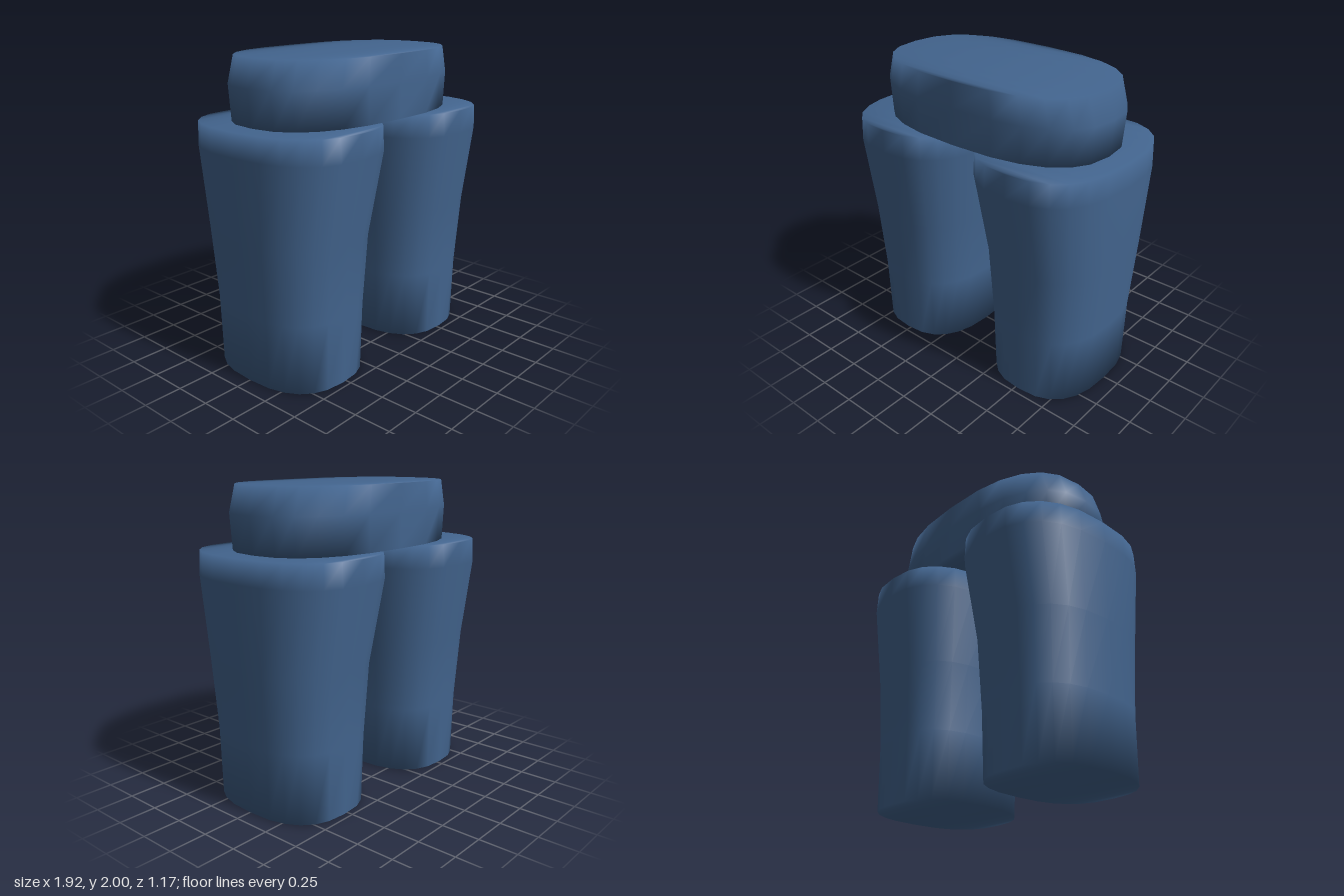
import * as THREE from 'three';

const SIDES = 24;
const ROUNDNESS = 0.77; // below 1 squares the oval off slightly

// Closed loft through rounded ovals; each row is [y, centreX, halfX, halfZ]
function loft(rows) {
  const pos = [], index = [];
  const soft = v => Math.abs(v) < 1e-6 ? 0 : Math.sign(v) * Math.abs(v) ** ROUNDNESS;
  for (const [y, cx, hx, hz] of rows) {
    for (let i = 0; i < SIDES; i++) {
      const a = i / SIDES * Math.PI * 2;
      pos.push(cx + hx * soft(Math.cos(a)), y, hz * soft(Math.sin(a)));
    }
  }
  // walls
  for (let r = 0; r < rows.length - 1; r++) {
    for (let i = 0; i < SIDES; i++) {
      const a = r * SIDES + i, b = r * SIDES + (i + 1) % SIDES;
      index.push(a, a + SIDES, b, a + SIDES, b + SIDES, b);
    }
  }
  // flat caps, stitched in strips that run side to side
  const wrap = k => (k + SIDES) % SIDES;
  const half = SIDES / 2, quarter = SIDES / 4;
  for (const [row, up] of [[0, false], [rows.length - 1, true]]) {
    const tri = (a, b, c) => {
      const [p, q, s] = [a, b, c].map(k => row * SIDES + wrap(k));
      index.push(p, up ? q : s, up ? s : q);
    };
    for (let k = -quarter; k < quarter; k++) {
      const l = half - k, l2 = l - 1;
      if (k > -quarter) tri(l, l2, k);
      if (k < quarter - 1) tri(k, l2, k + 1);
    }
  }
  const geo = new THREE.BufferGeometry();
  geo.setAttribute('position', new THREE.Float32BufferAttribute(pos, 3));
  geo.setIndex(index);
  geo.computeVertexNormals();
  return geo;
}

export function createModel() {
  const model = new THREE.Group();
  model.name = 'trousers';
  const denim = new THREE.MeshStandardMaterial({ color: 0x43658f });
  denim.name = 'denim blue';

  const add = (name, rows) => {
    const mesh = new THREE.Mesh(loft(rows), denim);
    mesh.name = name;
    model.add(mesh);
  };

  // hip section
  add('hips', [
    [1.6, 0, 0.81, 0.465],
    [1.83, 0, 0.83, 0.467],
    [2, 0, 0.775, 0.465],
  ]);

  // mirrored legs, tapering to the hem
  for (const [name, s] of [['leftLeg', 1], ['rightLeg', -1]]) {
    add(name, [
      [0, s * 0.525, 0.37, 0.46],
      [0.45, s * 0.523, 0.383, 0.47],
      [0.92, s * 0.525, 0.415, 0.5],
      [1.45, s * 0.5, 0.46, 0.583],
      [1.6, s * 0.5, 0.455, 0.577],
    ]);
  }
  return model;
}
